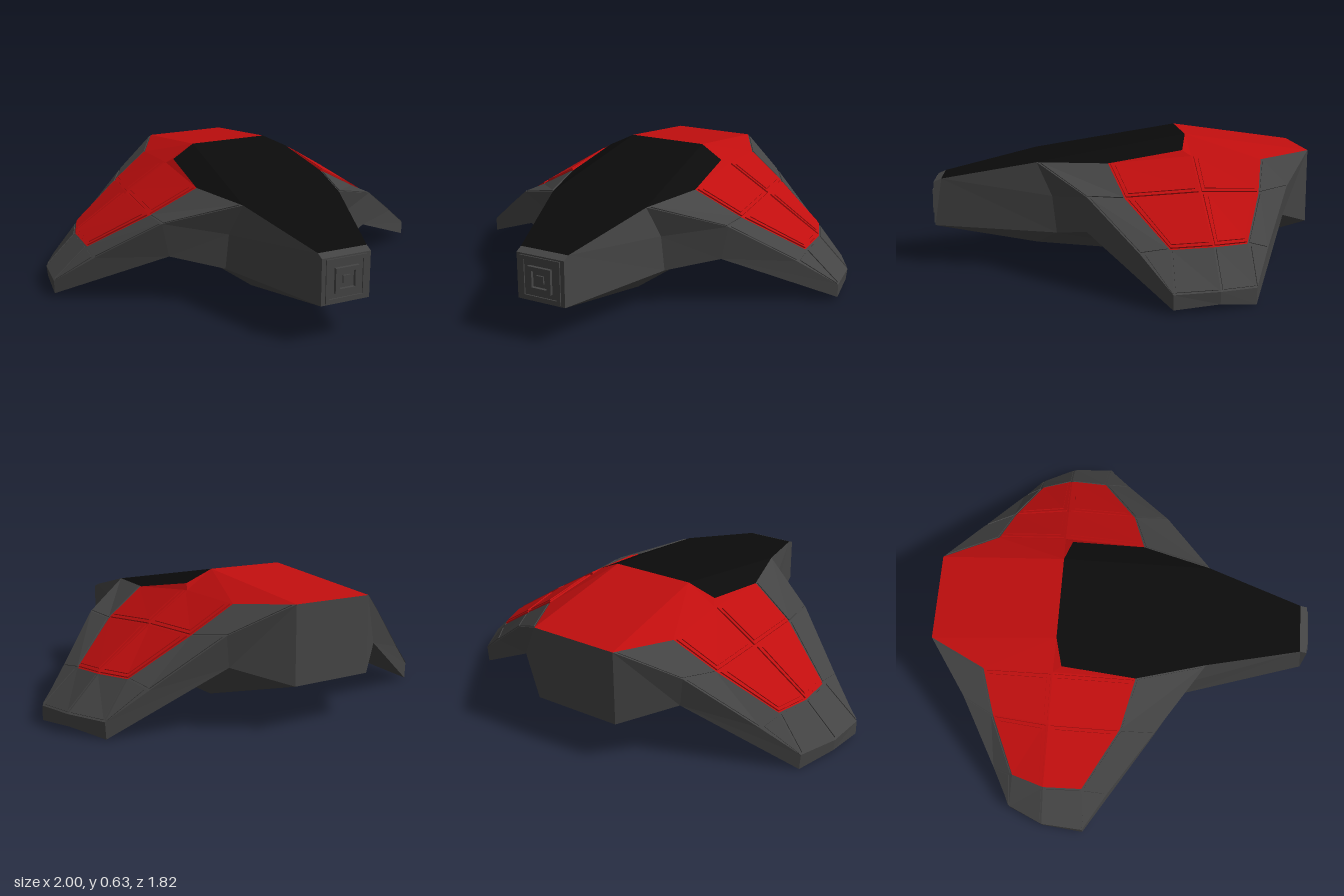
import * as THREE from 'three';

const flat = (name, color) => {
  const m = new THREE.MeshStandardMaterial({ color });
  m.name = name;
  return m;
};
const V = (x, y, z) => new THREE.Vector3(x, y, z);
const UP = V(0, 1, 0), DOWN = V(0, -1, 0), SIDE = V(1, 0, 0), FRONT = V(0, 0, 1), BACK = V(0, 0, -1);
const LEAD = V(0.5, 0, 1), TRAIL = V(0.5, 0, -1);
const centre = p => V(0, p.y, p.z); // the same point on the centre line

// Mesh from polygons [outward hint, ...corners]; mirrored onto both sides
function shell(name, material, polygons) {
  const pos = [];
  for (const s of [1, -1]) {
    for (const [hint, ...corners] of polygons) {
      const pts = corners.map(p => V(p.x * s, p.y, p.z));
      const n = V(0, 0, 0);
      pts.forEach((p, i) => n.add(p.clone().cross(pts[(i + 1) % pts.length])));
      if (n.dot(V(hint.x * s, hint.y, hint.z)) < 0) pts.reverse().unshift(pts.pop());
      for (let i = 1; i < pts.length - 1; i++) {
        for (const p of [pts[0], pts[i], pts[i + 1]]) pos.push(p.x, p.y, p.z);
      }
    }
  }
  const g = new THREE.BufferGeometry();
  g.setAttribute('position', new THREE.Float32BufferAttribute(pos, 3));
  g.computeVertexNormals();
  const mesh = new THREE.Mesh(g, material);
  mesh.name = name;
  return mesh;
}

// Raised plate on a quad, inset from its edges
function plate([a, b, c, d], inset, from, lift) {
  const n = c.clone().sub(a).cross(d.clone().sub(b)).normalize();
  if (n.y < 0) n.negate();
  const lu = (a.distanceTo(b) + d.distanceTo(c)) / 2, lv = (a.distanceTo(d) + b.distanceTo(c)) / 2;
  const u = inset / lu, v = inset / lv;
  const at = (s, t, h) => a.clone().lerp(b, s).lerp(d.clone().lerp(c, s), t).addScaledVector(n, h);
  const ring = h => [at(u, v, h), at(1 - u, v, h), at(1 - u, 1 - v, h), at(u, 1 - v, h)];
  const low = ring(from), top = ring(lift);
  const mid = at(0.5, 0.5, lift);
  const sides = top.map((p, i) => {
    const j = (i + 1) % 4;
    return [p.clone().add(top[j]).multiplyScalar(0.5).sub(mid), p, top[j], low[j], low[i]];
  });
  return [[n, ...top], ...sides];
}

// Square frame with a hole, facing forward
function frame(outer, inner, depth) {
  const square = (C, r) => new C([[-r, -r], [r, -r], [r, r], [-r, r]].map(p => new THREE.Vector2(...p)));
  const s = square(THREE.Shape, outer);
  s.holes.push(square(THREE.Path, inner));
  return new THREE.ExtrudeGeometry(s, { depth, bevelEnabled: false });
}

export function createModel() {
  const model = new THREE.Group();
  const grey = flat('hull grey', 0x444444);
  const red = flat('panel red', 0xc00e0e);
  const black = flat('canopy black', 0x0b0b0b);

  // Wing top grid: rows run root to tip, columns run leading to trailing edge
  const grid = [
    [V(0.25, 0.515, 0.4), V(0.34, 0.52, 0.07), V(0.345, 0.55, -0.32), V(0.34, 0.53, -0.65), V(0.21, 0.55, -0.91)],
    [V(0.56, 0.405, 0.18), V(0.56, 0.395, 0.01), V(0.56, 0.415, -0.33), V(0.53, 0.405, -0.6), V(0.45, 0.42, -0.75)],
    [V(0.83, 0.21, -0.03), V(0.825, 0.225, -0.16), V(0.83, 0.235, -0.345), V(0.78, 0.235, -0.5), V(0.74, 0.2, -0.6)],
    [V(1, 0.08, -0.15), V(1, 0.08, -0.15), V(0.985, 0.085, -0.35), V(0.905, 0.075, -0.52), V(0.905, 0.075, -0.52)],
  ];
  const [[shoulder, canopyEdge, deckMid, deckRear, rearTop], [f1, , , , r1], [f2, , , , r2], [f3, , m3, r3]] = grid;

  // Nose, side and belly corners
  const n0 = V(0.12, 0.42, 0.86), n1 = V(0.12, 0.405, 0.895), n2 = V(0.12, 0.19, 0.895);
  const a = V(0.29, 0.36, 0.33), b = V(0.3, 0.185, 0.31), c = V(0.21, 0.12, 0.4);
  const d = V(0.22, 0.05, -0.33), e = V(0.21, 0.2, -0.91);
  const g1 = V(0.53, 0.24, 0.18), g3 = V(1, 0.015, -0.15), mLow = V(0.98, 0.03, -0.35);
  const h1 = V(0.43, 0.28, -0.74), h3 = V(0.9, 0, -0.52);
  const ridge = V(0.2, 0.635, -0.31), canopyCorner = V(0.32, 0.575, -0.28);
  const half = (hint, p, q) => [hint, p, q, centre(q), centre(p)];

  model.add(shell('fuselage', grey, [
    half(UP, n0, n1), half(FRONT, n1, n2),
    [SIDE, n0, n1, n2, b, a, shoulder],
    [DOWN, n2, b, c],
    half(DOWN, n2, c), half(DOWN, c, d), half(DOWN, d, e), half(BACK, e, rearTop),
    [DOWN, c, d, b], [DOWN, b, d, g1], [DOWN, d, h1, g1], [DOWN, d, e, h1],
    [TRAIL, rearTop, r1, h1, e],
  ]));

  model.add(shell('wingEdges', grey, [
    [LEAD, shoulder, a, f1], [LEAD, a, g1, f1], [LEAD, a, b, g1],
    [LEAD, g1, g3, f3, f2, f1],
    [SIDE, f3, g3, mLow, m3], [SIDE, m3, mLow, h3, r3],
    [TRAIL, h1, h3, r3, r2, r1],
    [DOWN, g1, g3, mLow, h3, h1],
  ]));

  // Wing skins and the raised plates over them
  const skins = { grey: [], red: [] }, plates = { grey: [], red: [] };
  for (let row = 0; row < 3; row++) {
    for (let col = 0; col < 4; col++) {
      const quad = [grid[row][col], grid[row][col + 1], grid[row + 1][col + 1], grid[row + 1][col]];
      const key = row < 2 && (col === 1 || col === 2) ? 'red' : 'grey';
      skins[key].push([UP, ...quad]);
      if (key === 'red') {
        plates.red.push(...plate(quad, 0.008, -0.004, 0.007), ...plate(quad, 0.024, 0.007, 0.012));
      } else {
        plates.grey.push(...plate(quad, 0.009, -0.004, 0.004));
      }
    }
  }
  model.add(shell('wingSkin', grey, skins.grey));
  model.add(shell('wingPlates', grey, plates.grey));
  model.add(shell('redWingSkin', red, skins.red));
  model.add(shell('redWingPlates', red, plates.red));

  // Red rear deck
  model.add(shell('rearDeck', red, [
    half(UP, ridge, rearTop),
    [UP, ridge, canopyCorner, deckMid, deckRear, rearTop],
    [UP, canopyEdge, deckMid, canopyCorner],
  ]));

  // Black canopy
  model.add(shell('canopy', black, [
    half(UP, n0, shoulder), half(UP, shoulder, ridge),
    [UP, shoulder, canopyEdge, canopyCorner, ridge],
  ]));

  // Stepped square port on the nose
  const port = new THREE.Group();
  port.name = 'nosePort';
  for (const [outer, inner, depth] of [[0.1, 0.082, 0.006], [0.058, 0.038, 0.015]]) {
    const m = new THREE.Mesh(frame(outer, inner, depth), grey);
    m.name = 'portFrame';
    port.add(m);
  }
  const core = new THREE.Mesh(new THREE.BoxGeometry(0.036, 0.036, 0.016), grey);
  core.name = 'portCore';
  port.add(core);
  port.position.set(0, 0.298, 0.895);
  model.add(port);

  return model;
}
